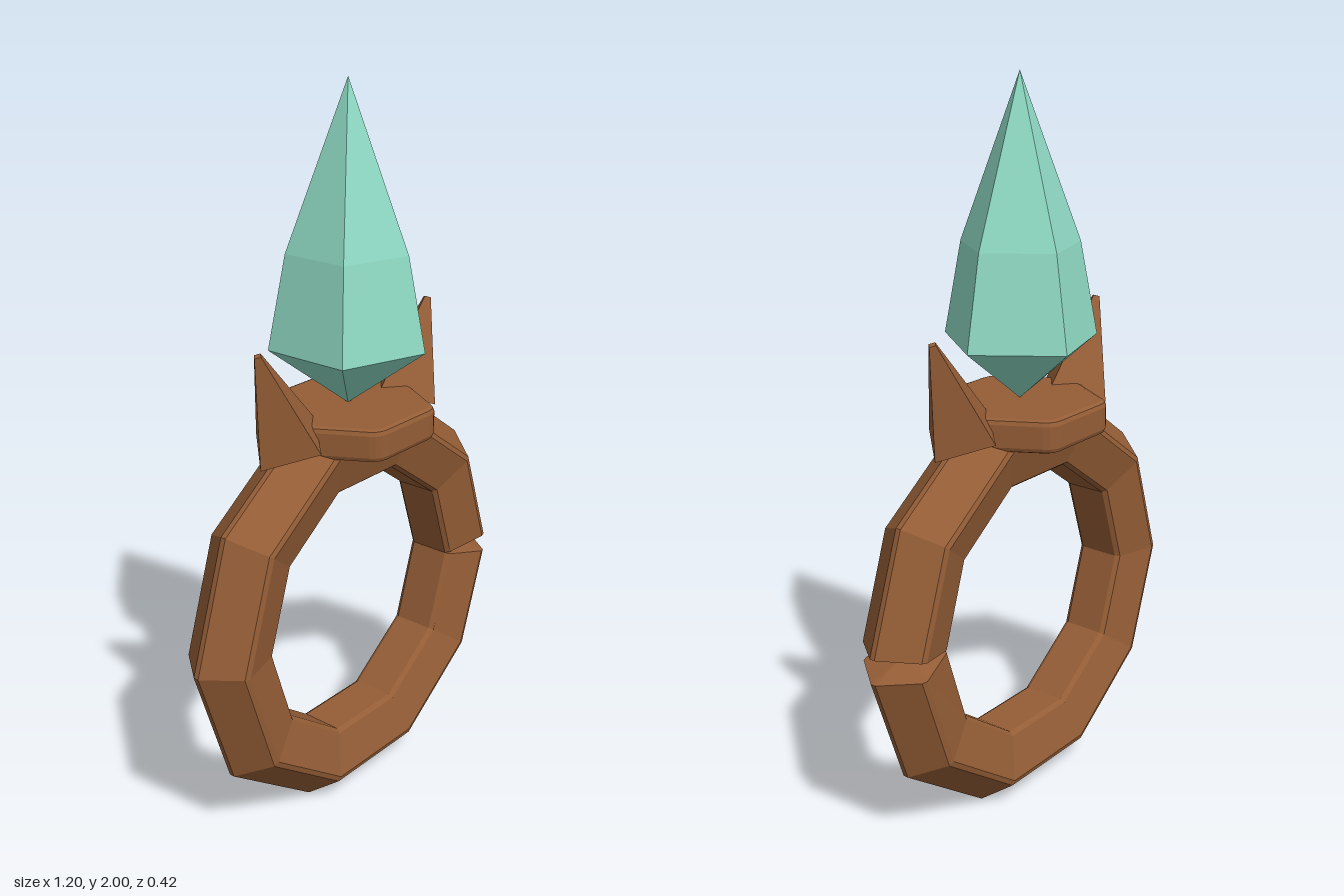
import * as THREE from 'three';

const bronze = new THREE.MeshStandardMaterial({ color: 0x945d36 });
bronze.name = 'bronze';
bronze.flatShading = true;
const crystal = new THREE.MeshStandardMaterial({ color: 0x8fdac4 });
crystal.name = 'crystal';
crystal.flatShading = true;

const CENTRE_Y = 0.573;

function addMesh(parent, name, geometry, material) {
  const mesh = new THREE.Mesh(geometry, material);
  mesh.name = name;
  parent.add(mesh);
  return mesh;
}

// Pentagonal band section with chamfered corners, as [radius, z] pairs
function bandSection() {
  const R = 0.484, r = 0.1225, cut = 0.07;
  const corner = (i) => {
    const b = (i * Math.PI * 2) / 5;
    return new THREE.Vector2(R + r * Math.cos(b), 0.94 * r * Math.sin(b));
  };
  const points = [];
  for (let i = 0; i < 5; i++) {
    points.push(corner(i).lerp(corner(i + 4), cut), corner(i).lerp(corner(i + 1), cut));
  }
  return points;
}

// Ten-sided band, split by a small wedge-shaped notch on the +x side
function bandGeometry() {
  const sides = 10, section = bandSection(), n = section.length;
  const point = (j, k) => {
    const { x: rad, y: z } = section[k % n];
    const a = (j / sides) * Math.PI * 2;
    const end = j === 0 ? 1 : j === sides ? -1 : 0;
    const open = THREE.MathUtils.clamp((rad - 0.39) / 0.21, 0, 1) ** 0.6;
    return [rad * Math.cos(a) - Math.abs(end) * open * 0.006,
      rad * Math.sin(a) + end * 0.035 * open, z];
  };
  const notchFloor = [0.484, 0, 0];
  const positions = [];
  const tri = (a, b, c) => positions.push(...a, ...b, ...c);
  for (let k = 0; k < n; k++) {
    for (let j = 0; j < sides; j++) {
      const a = point(j, k), b = point(j + 1, k), c = point(j + 1, k + 1), d = point(j, k + 1);
      tri(a, b, c);
      tri(a, c, d);
    }
    // Sunken ends meeting at the notch floor
    tri(notchFloor, point(0, k), point(0, k + 1));
    tri(notchFloor, point(sides, k + 1), point(sides, k));
  }
  const geometry = new THREE.BufferGeometry();
  geometry.setAttribute('position', new THREE.Float32BufferAttribute(positions, 3));
  geometry.computeVertexNormals();
  return geometry;
}

// Hexagonal plate with softened corners and bevelled rims
function plateGeometry() {
  const bevel = 0.015, R = 0.24 - bevel / Math.cos(Math.PI / 6);
  const corner = (i) => {
    const a = (i * Math.PI) / 3;
    return new THREE.Vector2(R * Math.cos(a), R * Math.sin(a));
  };
  const shape = new THREE.Shape();
  for (let i = 0; i < 6; i++) {
    const c = corner(i);
    const from = c.clone().lerp(corner(i + 5), 0.1), to = c.clone().lerp(corner(i + 1), 0.1);
    if (i === 0) shape.moveTo(from.x, from.y);
    else shape.lineTo(from.x, from.y);
    shape.quadraticCurveTo(c.x, c.y, to.x, to.y);
  }
  shape.closePath();
  const depth = 0.09 - 2 * bevel;
  return new THREE.ExtrudeGeometry(shape, {
    depth, bevelEnabled: true, bevelSize: bevel, bevelThickness: bevel,
    bevelSegments: 2, curveSegments: 3,
  }).translate(0, 0, -depth / 2).rotateX(-Math.PI / 2);
}

export function createModel() {
  const group = new THREE.Group();
  group.name = 'crystalRing';

  addMesh(group, 'band', bandGeometry(), bronze).position.y = CENTRE_Y;
  addMesh(group, 'settingPlate', plateGeometry(), bronze).position.y = 1.107;

  // Four-sided claws leaning outward on both sides of the plate
  for (const side of [1, -1]) {
    const claw = new THREE.CylinderGeometry(0.012, 0.113, 0.285, 4)
      .rotateY(Math.PI / 2).translate(0, 0.1425, 0);
    const mesh = addMesh(group, side > 0 ? 'leftClaw' : 'rightClaw', claw, bronze);
    mesh.position.set(side * 0.24, 1.102, 0);
    mesh.rotation.z = -side * 0.38;
  }

  // Five-sided crystal standing on its point
  const profile = [[0, 1.15], [0.215, 1.312], [0.166, 1.565], [0, 2]]
    .map(([x, y]) => new THREE.Vector2(x, y));
  addMesh(group, 'crystal', new THREE.LatheGeometry(profile, 5, Math.PI / 2), crystal);

  return group;
}
